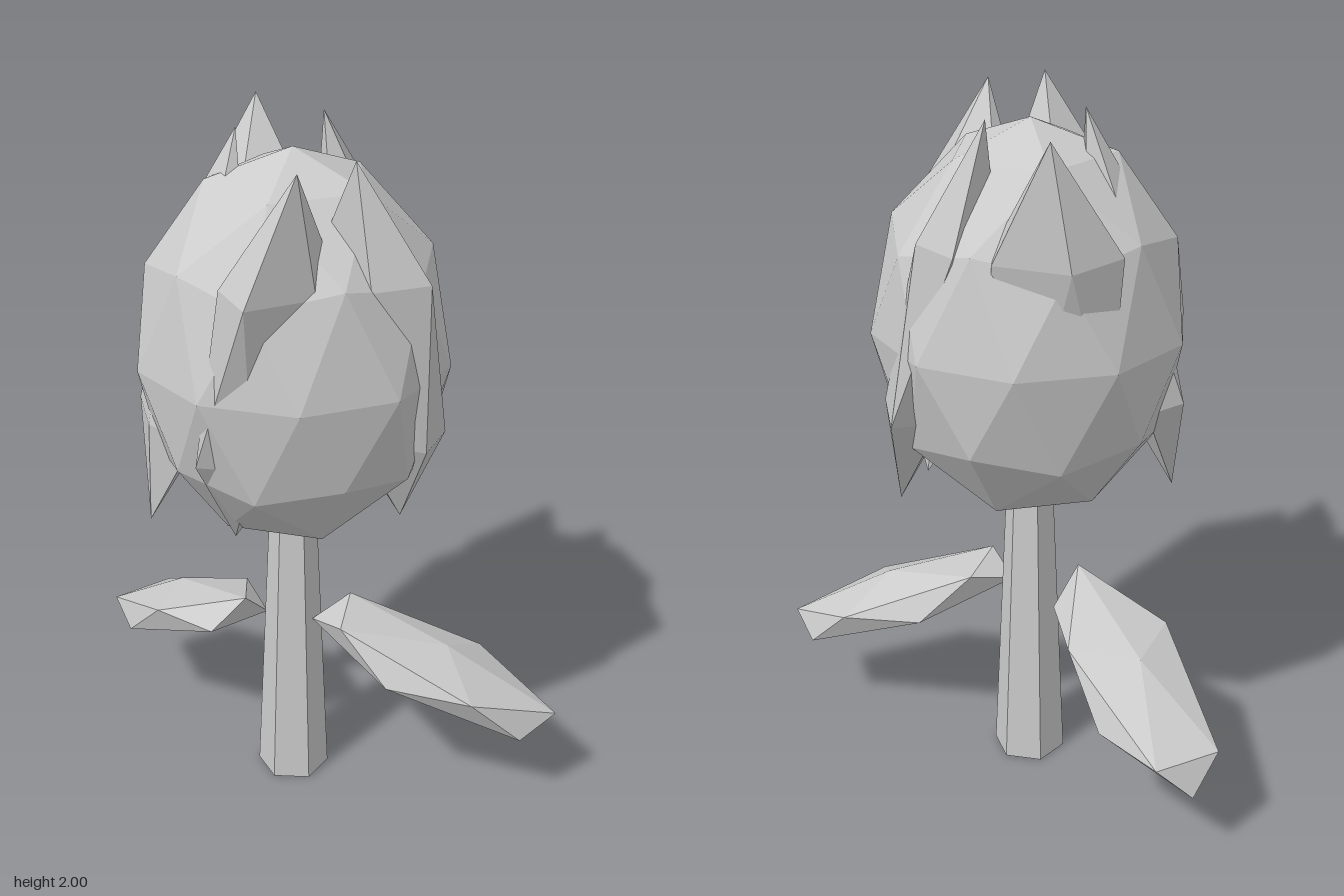
import * as THREE from 'three';

const material = new THREE.MeshStandardMaterial({ color: 0xcccccc, flatShading: true });
const CX = -0.014, CZ = 0.012; // stem axis

// Faceted ball standing on a corner, with an upper-ring corner towards +x
function facetedBall(detail) {
  const g = new THREE.IcosahedronGeometry(1, detail).toNonIndexed === undefined
    ? null : new THREE.IcosahedronGeometry(1, detail);
  g.rotateX(-Math.atan2((1 + Math.sqrt(5)) / 2, 1));
  g.rotateY(Math.PI / 2);
  g.computeVertexNormals();
  return g;
}

function part(name, geometry, position, scale = [1, 1, 1], rotation = [0, 0, 0, 'XYZ']) {
  const mesh = new THREE.Mesh(geometry, material);
  mesh.name = name;
  mesh.position.set(...position);
  mesh.scale.set(...scale);
  mesh.rotation.set(...rotation);
  return mesh;
}

export function createModel() {
  const flower = new THREE.Group();
  flower.name = 'flower';
  const ball = facetedBall(0);

  // Tapered six-sided stem, ending inside the bud
  flower.add(part('stem', new THREE.CylinderGeometry(0.066, 0.107, 0.94, 6), [CX, 0.47, CZ]));

  // Egg-shaped bud
  flower.add(part('bud', facetedBall(1), [CX, 1.4, CZ], [0.437, 0.56, 0.437]));

  // Five slim tilted petals set around the bud
  for (let i = 0; i < 5; i++) {
    const a = (i * Math.PI * 2) / 5;
    flower.add(part('petal' + (i + 1), ball,
      [CX + 0.275 * Math.cos(a), 1.45, CZ + 0.275 * Math.sin(a)],
      [0.2, 0.567, 0.1], [0.244, a, 0, 'YXZ']));
  }

  // Two drooping leaves beside the stem
  const leafSize = [0.43, 0.085, 0.19];
  flower.add(part('leftLeaf', ball, [0.395, 0.428, -0.125], leafSize, [0, 0.41, -0.43, 'YZX']));
  flower.add(part('rightLeaf', ball, [-0.418, 0.425, 0], leafSize, [0, -0.377, 0.43, 'YZX']));

  return flower;
}
